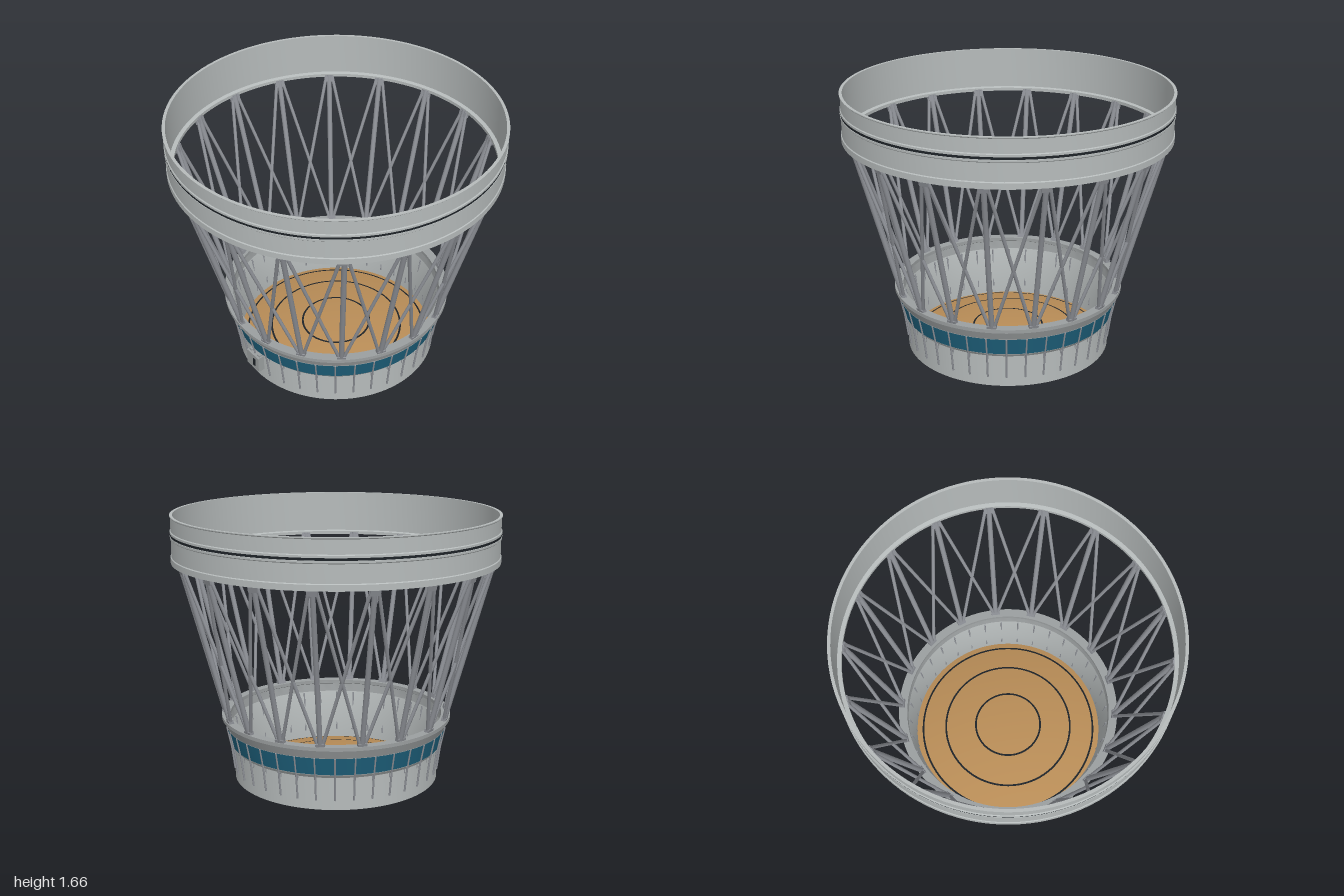
import * as THREE from 'three';
import { toCreasedNormals } from 'three/addons/utils/BufferGeometryUtils.js';

const material = (name, color) => {
  const m = new THREE.MeshStandardMaterial({ color });
  m.name = name;
  return m;
};

export function createModel() {
  const model = new THREE.Group();
  model.name = 'conicalTrussAdapter';

  const lightGrey = material('lightGrey', 0xb6bbbb);
  const midGrey = material('midGrey', 0x9b9fa0);
  const strutGrey = material('strutGrey', 0x8f9298);
  const teal = material('teal', 0x1f6480);
  const tan = material('tan', 0xb98d57);
  const black = material('black', 0x1e2328);
  tan.side = black.side = THREE.DoubleSide;

  const add = (name, geometry, mat, parent = model) => {
    const mesh = new THREE.Mesh(geometry, mat);
    mesh.name = name;
    parent.add(mesh);
    return mesh;
  };
  const group = (name) => {
    const g = new THREE.Group();
    g.name = name;
    model.add(g);
    return g;
  };

  // Turned part from [radius, y] points, outer side upward first
  const turned = (name, points, mat, closed = true) => {
    const pts = points.map(([r, y]) => new THREE.Vector2(r, y));
    if (closed) pts.push(pts[0].clone());
    return add(name, toCreasedNormals(new THREE.LatheGeometry(pts, 108), 0.3), mat);
  };

  // Point at an angle measured from +z towards +x
  const polar = (angle, r, y) =>
    new THREE.Vector3(Math.sin(angle) * r, y, Math.cos(angle) * r);

  // Round bar between two points
  const up = new THREE.Vector3(0, 1, 0);
  const bar = (name, a, b, r, parent) => {
    const dir = b.clone().sub(a);
    const mesh = add(name, new THREE.CylinderGeometry(r, r, dir.length(), 10), strutGrey, parent);
    mesh.position.copy(a).add(b).multiplyScalar(0.5);
    mesh.quaternion.setFromUnitVectors(up, dir.normalize());
    return mesh;
  };

  // Box facing outward at an angle, leaning by tilt
  const radialBox = (name, angle, r, y, size, mat, parent, tilt = 0) => {
    const mesh = add(name, new THREE.BoxGeometry(...size), mat, parent);
    mesh.position.copy(polar(angle, r, y));
    mesh.rotation.set(tilt, angle, 0, 'YXZ');
    return mesh;
  };

  // Upper ring with a bolted joint halfway up
  turned('upperRing', [
    [0.998, 1.38], [0.998, 1.415], [0.993, 1.42], [0.993, 1.525], [0.998, 1.53],
    [0.998, 1.542], [0.99, 1.543], [0.99, 1.557], [0.998, 1.558], [0.998, 1.57],
    [0.993, 1.575], [0.993, 1.655], [0.998, 1.66], [0.998, 1.665], [0.98, 1.665],
    [0.98, 1.405], [0.956, 1.4], [0.956, 1.38],
  ], lightGrey);
  turned('jointSeam', [[0.996, 1.543], [0.996, 1.557]], black, false);

  // Lower ring: straight skirt below a flared wall
  turned('lowerRing', [
    [0.64, 0], [0.64, 0.2], [0.655, 0.22], [0.685, 0.335],
    [0.66, 0.335], [0.625, 0.18], [0.625, 0],
  ], lightGrey);
  turned('lowerFlange', [
    [0.685, 0.335], [0.703, 0.385], [0.717, 0.39], [0.717, 0.412],
    [0.662, 0.412], [0.662, 0.39], [0.67, 0.385], [0.66, 0.335],
  ], midGrey);
  turned('tealBand', [[0.66, 0.225], [0.689, 0.335]], teal, false);

  // Shallow dome closing the bottom, with ring seams on both faces
  const domeY = (r) => 0.095 - 0.078 * (r / 0.626) ** 2;
  const domePoints = [];
  for (let i = 0; i <= 16; i++) {
    const r = 0.626 * (1 - i / 16);
    domePoints.push([r, domeY(r)]);
  }
  turned('dome', domePoints, tan, false);
  for (const r of [0.22, 0.425, 0.583]) {
    for (const lift of [0.003, -0.003]) {
      turned('domeSeam', [
        [r + 0.006, domeY(r + 0.006) + lift], [r - 0.006, domeY(r - 0.006) + lift],
      ], black, false);
    }
  }

  // Truss: a main strut at each node and crossed braces between nodes
  const truss = group('truss');
  const nodes = 18;
  const step = (Math.PI * 2) / nodes;
  const lean = Math.atan2(0.255, 0.97);
  for (let i = 0; i < nodes; i++) {
    const a = (i + 0.5) * step;
    const foot = polar(a, 0.695, 0.41);
    bar('mainStrut', foot, polar(a, 0.962, 1.39), 0.016, truss);
    for (const side of [-1, 1]) {
      bar('braceStrut', polar(a + side * 0.018, 0.695, 0.41),
        polar(a + side * (step - 0.018), 0.962, 1.39), 0.0105, truss);
    }
    radialBox('topBracket', a, 0.957, 1.365, [0.06, 0.035, 0.028], strutGrey, truss, lean);
    radialBox('footBracket', a, 0.697, 0.42, [0.055, 0.025, 0.03], strutGrey, truss, lean);
  }

  // Thin ribs on both sides of the lower ring
  const ribs = group('ribs');
  for (let i = 0; i < 36; i++) {
    const a = ((i * 10 + 7) * Math.PI) / 180;
    bar('outerRib', polar(a, 0.662, 0.2), polar(a, 0.69, 0.335), 0.005, ribs);
    bar('lowerRib', polar(a, 0.643, 0.06), polar(a, 0.664, 0.22), 0.006, ribs);
    bar('innerRib', polar(a, 0.624, 0.07), polar(a, 0.653, 0.33), 0.005, ribs);
  }

  // Equipment box on the skirt
  const box = group('equipmentBox');
  const at = (-63 * Math.PI) / 180;
  radialBox('boxBody', at, 0.655, 0.135, [0.12, 0.11, 0.05], midGrey, box);
  radialBox('boxSlot', at + 0.025, 0.681, 0.135, [0.022, 0.055, 0.006], black, box);
  for (const side of [-1, 1]) {
    for (const y of [0.078, 0.192]) {
      radialBox('boxTab', at + side * 0.06, 0.652, y, [0.025, 0.02, 0.03], midGrey, box);
    }
  }

  return model;
}
